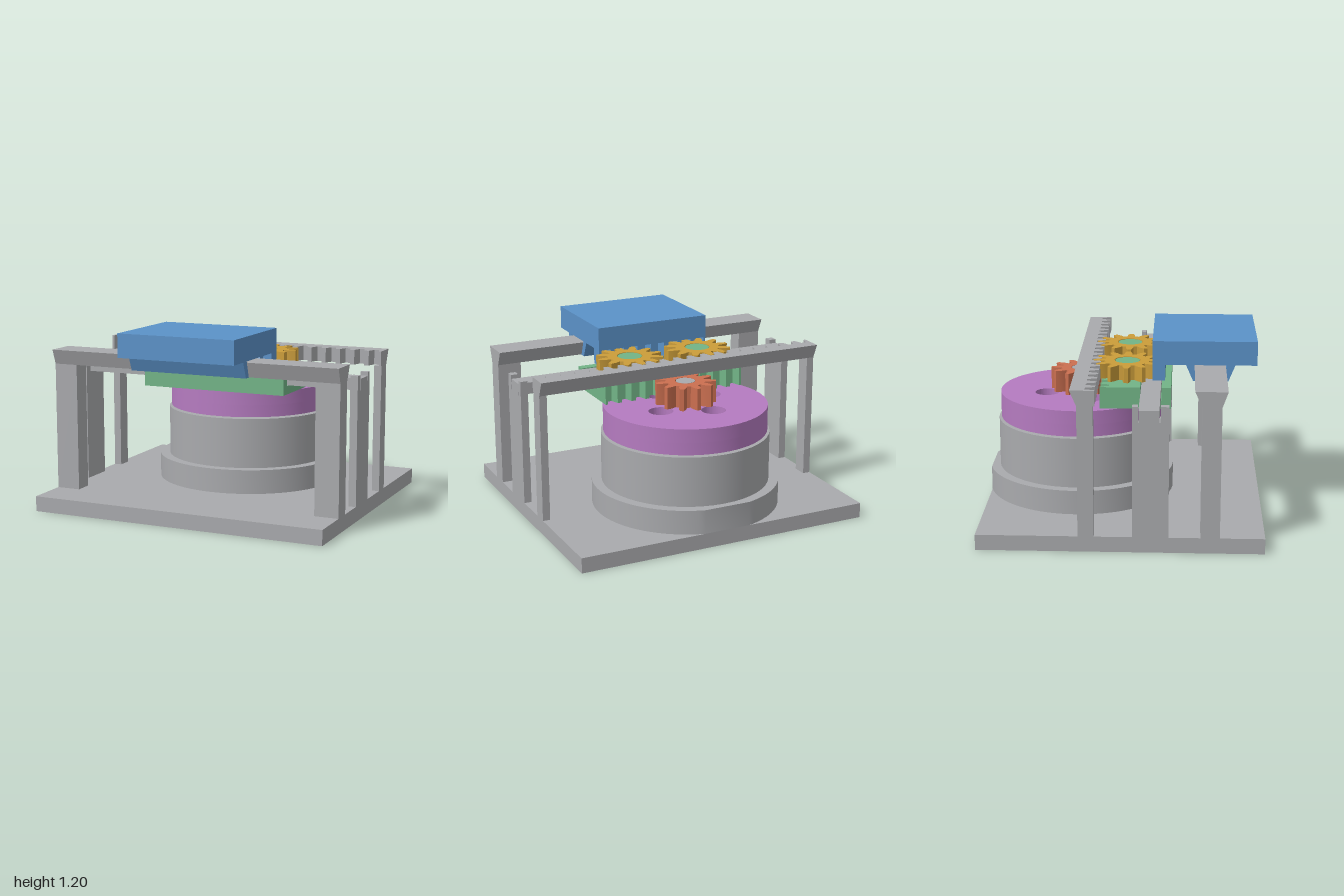
import * as THREE from 'three';
import { toCreasedNormals } from 'three/addons/utils/BufferGeometryUtils.js';

const paint = (name, color) => {
  const m = new THREE.MeshStandardMaterial({ color });
  m.name = name;
  return m;
};

export function createModel() {
  const root = new THREE.Group();
  root.name = 'rackAndPinionMechanism';
  const gray = paint('gray', 0xa9aaad);
  const blue = paint('blue', 0x5b92c8);
  const purple = paint('purple', 0xb57bc0);
  const green = paint('green', 0x72b487);
  const amber = paint('amber', 0xcb9d3a);
  const rust = paint('rust', 0xcb6f50);

  const add = (name, geometry, material) => {
    const mesh = new THREE.Mesh(geometry, material);
    mesh.name = name;
    root.add(mesh);
    return mesh;
  };
  // box given by its limits on each axis
  const box = (name, mat, x0, x1, y0, y1, z0, z1) =>
    add(name, new THREE.BoxGeometry(x1 - x0, y1 - y0, z1 - z0)
      .translate((x0 + x1) / 2, (y0 + y1) / 2, (z0 + z1) / 2), mat);
  const polygon = (pts) => new THREE.Shape(pts.map(([a, b]) => new THREE.Vector2(a, b)));
  // upright slab from a plan shape in (x, z)
  const slab = (name, mat, shape, y0, y1) => {
    const g = new THREE.ExtrudeGeometry(shape, { depth: y1 - y0, bevelEnabled: false, curveSegments: 40 });
    return add(name, toCreasedNormals(g.rotateX(Math.PI / 2).translate(0, y1, 0), 0.35), mat);
  };
  // bar along x from a profile in (z, y)
  const bar = (name, mat, pts, halfLength) => {
    const g = new THREE.ExtrudeGeometry(polygon(pts), { depth: 2 * halfLength, bevelEnabled: false });
    return add(name, g.rotateY(-Math.PI / 2).translate(halfLength, 0, 0), mat);
  };
  const disc = (name, mat, x, z, r, y0, y1) =>
    add(name, new THREE.CylinderGeometry(r, r, y1 - y0, 48).translate(x, (y0 + y1) / 2, z), mat);

  // spur gear with one tooth pointing to -z
  const gear = (name, mat, x, z, teeth, rRoot, rTip, bore, y0, y1) => {
    const pts = [];
    const step = (2 * Math.PI) / teeth;
    const rMid = (rRoot + rTip) / 2;
    const half = [[-0.34, rRoot], [-0.25, rMid], [-0.11, rTip], [0.11, rTip], [0.25, rMid], [0.34, rRoot]];
    for (let i = 0; i < teeth; i++) {
      for (const [f, r] of half) {
        const a = -Math.PI / 2 + (i + f) * step;
        pts.push([x + r * Math.cos(a), z + r * Math.sin(a)]);
      }
    }
    const shape = polygon(pts);
    shape.holes.push(new THREE.Path().absarc(x, z, bore, 0, Math.PI * 2, true));
    return slab(name, mat, shape, y0, y1);
  };

  // rack strip: flat side at zBack, tooth valleys at zRoot, tips at zTip
  const PITCH = 0.1;
  const rack = (name, mat, halfLength, zBack, zRoot, zTip, y0, y1) => {
    const pts = [[-halfLength, zBack]];
    const n = Math.round(halfLength / PITCH);
    const clamp = (v) => Math.max(-halfLength, Math.min(halfLength, v));
    for (let i = -n; i <= n; i++) {
      const c = i * PITCH;
      if (i > -n) pts.push([c - 0.033, zRoot]);
      pts.push([clamp(c - 0.015), zTip], [clamp(c + 0.015), zTip]);
      if (i < n) pts.push([c + 0.033, zRoot]);
    }
    pts.push([halfLength, zBack]);
    return slab(name, mat, polygon(pts), y0, y1);
  };

  // base plate
  box('basePlate', gray, -1, 1, 0, 0.1, -0.9, 0.9);

  // motor housing, its foot ring cut flat at the plate edge
  const CZ = -0.3;
  const cut = Math.asin(0.6 / 0.62);
  const foot = new THREE.Shape();
  foot.absarc(0, CZ, 0.62, -cut, Math.PI + cut, false);
  foot.closePath();
  slab('housingFoot', gray, foot, 0.1, 0.26);
  disc('housing', gray, 0, CZ, 0.555, 0.26, 0.59);
  disc('driveShaft', gray, 0, CZ, 0.062, 0.59, 0.92);

  // turntable with four counterbored holes
  const turntable = (name, holeRadius, y0, y1) => {
    const s = new THREE.Shape().absarc(0, CZ, 0.54, 0, Math.PI * 2, false);
    for (let i = 0; i < 4; i++) {
      const a = (22.5 + 90 * i) * Math.PI / 180;
      s.holes.push(new THREE.Path().absarc(0.24 * Math.cos(a), CZ - 0.24 * Math.sin(a), holeRadius, 0, Math.PI * 2, true));
    }
    slab(name, purple, s, y0, y1);
  };
  turntable('turntableLower', 0.045, 0.6, 0.68);
  turntable('turntableUpper', 0.08, 0.68, 0.77);

  // drive pinion
  gear('drivePinion', rust, 0, CZ, 11, 0.13, 0.2, 0.066, 0.775, 0.92);

  // front dovetail rail
  bar('frontRail', gray, [[0.5, 0.94], [0.62, 0.94], [0.655, 1.037], [0.455, 1.037]], 1);
  // middle guide rail
  box('middleRail', gray, -1, 1, 0.84, 0.916, 0.115, 0.242);
  // rear rail with slanted back and teeth
  bar('rearRail', gray, [[-0.26, 0.94], [-0.21, 0.94], [-0.21, 1.037], [-0.302, 1.037]], 1);
  rack('rearRack', gray, 1, -0.212, -0.21, -0.15, 0.94, 1.037);

  // posts and stops on both ends
  for (const s of [-1, 1]) {
    const end = (name, w, y0, y1, z0, z1) =>
      box(name, gray, Math.min(s, s * (1 - w)), Math.max(s, s * (1 - w)), y0, y1, z0, z1);
    end('frontPost', 0.16, 0.1, 0.94, 0.5, 0.62);
    end('middlePost', 0.05, 0.1, 0.84, 0.077, 0.302);
    end('frontStop', 0.05, 0.84, 0.94, 0.25, 0.302);
    end('rearStop', 0.05, 0.84, 0.94, 0.077, 0.112);
    end('rearPost', 0.05, 0.1, 0.94, -0.26, -0.16);
  }

  // slider around the middle rail, with a rack for the pinion
  bar('slider', green, [[-0.09, 0.78], [0.307, 0.78], [0.307, 0.92], [0.247, 0.92],
    [0.247, 0.834], [0.11, 0.834], [0.11, 0.92], [-0.09, 0.92]], 0.5);
  rack('sliderRack', green, 0.5, -0.085, -0.09, -0.148, 0.78, 0.92);

  // idler gears on slider pins
  for (const x of [-0.25, 0.25]) {
    disc('idlerPin', green, x, 0.02, 0.08, 0.92, 1.035);
    gear('idlerGear', amber, x, 0.02, 12, 0.148, 0.222, 0.084, 0.94, 1.037);
  }

  // carriage with dovetail jaws and rack
  box('carriage', blue, -0.4, 0.4, 1.045, 1.2, 0.185, 0.855);
  bar('carriageFrontJaw', blue, [[0.662, 1.045], [0.628, 0.94], [0.672, 0.94], [0.715, 1.045]], 0.4);
  bar('carriageRearJaw', blue, [[0.4, 1.045], [0.446, 0.94], [0.489, 0.94], [0.451, 1.045]], 0.4);
  // winding runs the other way because the teeth face -z from a front strip
  rack('carriageRack', blue, 0.4, 0.267, 0.246, 0.187, 0.94, 1.045);

  return root;
}
